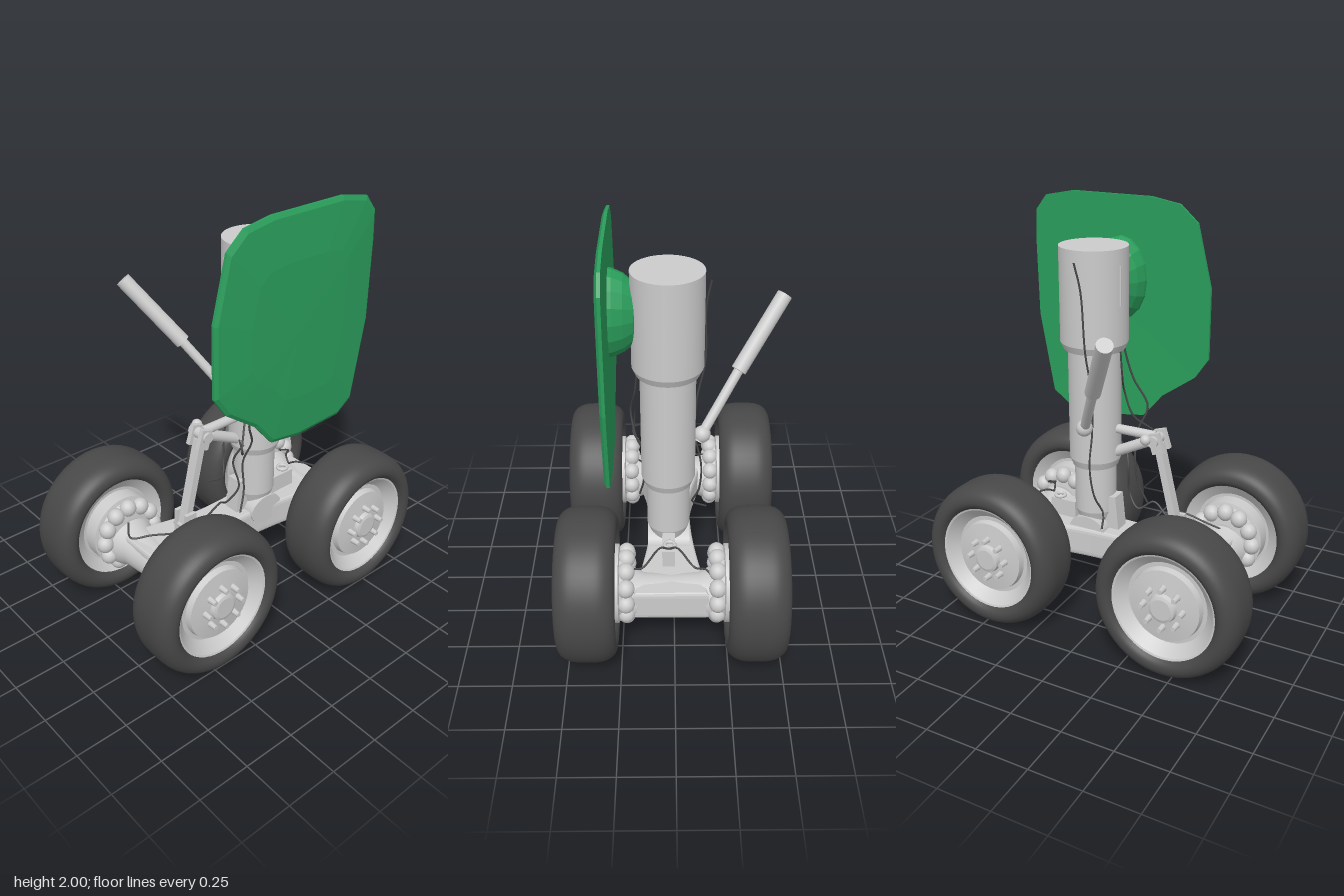
import * as THREE from 'three';

const V = (x, y, z) => new THREE.Vector3(x, y, z);
const grey = new THREE.MeshStandardMaterial({ color: 0xcccccc });
const rubber = new THREE.MeshStandardMaterial({ color: 0x484848 });
const green = new THREE.MeshStandardMaterial({ color: 0x2a9d5b, flatShading: true, side: THREE.DoubleSide });
const CX = 0.027, CZ = -0.155; // strut axis

function add(parent, name, geometry, material = grey, x = 0, y = 0, z = 0) {
  const mesh = new THREE.Mesh(geometry, material);
  mesh.name = name;
  mesh.position.set(x, y, z);
  parent.add(mesh);
  return mesh;
}

// Round bar from a to b
function bar(parent, name, a, b, r0, r1 = r0, sides = 20) {
  const d = b.clone().sub(a);
  const mesh = add(parent, name, new THREE.CylinderGeometry(r1, r0, d.length(), sides));
  mesh.position.copy(a).addScaledVector(d, 0.5);
  mesh.quaternion.setFromUnitVectors(V(0, 1, 0), d.normalize());
  return mesh;
}

// Flat link in the yz plane, from a to b
function link(parent, name, a, b, width, depth) {
  const d = b.clone().sub(a);
  const mesh = add(parent, name, new THREE.BoxGeometry(width, d.length(), depth));
  mesh.position.copy(a).addScaledVector(d, 0.5);
  mesh.rotation.x = Math.atan2(d.z, d.y);
  return mesh;
}

function hose(parent, points, r = 0.005) {
  const curve = new THREE.CatmullRomCurve3(points.map(p => V(...p)));
  add(parent, 'hose', new THREE.TubeGeometry(curve, 40, r, 6), rubber);
}

// Lathe about the x axis
function latheX(points, sides = 48) {
  return new THREE.LatheGeometry(points.map(p => new THREE.Vector2(...p)), sides).rotateZ(-Math.PI / 2);
}

// Lathe with crisp corners: one band per segment
function bands(parent, name, points, material = grey) {
  for (let i = 0; i < points.length - 1; i++) add(parent, name, latheX([points[i], points[i + 1]]), material);
}

// Wheel with its outer face towards local +x
function wheel(side, z) {
  const g = new THREE.Group();
  g.name = 'wheel';
  const half = [[0.25, 0.1], [0.268, 0.124], [0.29, 0.136], [0.318, 0.132], [0.343, 0.112], [0.36, 0.078], [0.366, 0.035]];
  const profile = [...half.map(([r, h]) => [r, -h]), ...half.slice().reverse()];
  const smooth = new THREE.SplineCurve(profile.map(p => new THREE.Vector2(...p))).getPoints(36);
  add(g, 'tyre', latheX(smooth.map(p => [p.x, p.y]), 56), rubber);
  bands(g, 'rim', [[0.001, -0.07], [0.2, -0.07], [0.25, -0.105], [0.264, -0.115], [0.264, 0.115], [0.25, 0.11],
    [0.2, 0.06], [0.18, 0.06], [0.174, 0.09], [0.07, 0.103], [0.064, 0.122], [0.05, 0.127], [0.0, 0.127]]);
  for (let i = 0; i < 8; i++) {
    const a = i / 8 * Math.PI * 2;
    const bolt = add(g, 'wheelBolt', new THREE.CylinderGeometry(0.012, 0.016, 0.045, 10), grey,
      0.118, Math.cos(a) * 0.097, Math.sin(a) * 0.097);
    bolt.rotation.z = -Math.PI / 2;
  }
  // Brake pack on the inner face with a ring of rounded pistons
  bands(g, 'brakeDrum', [[0.001, -0.2], [0.09, -0.2], [0.15, -0.19], [0.165, -0.15], [0.185, -0.145], [0.185, -0.06]]);
  for (let i = 0; i < 12; i++) {
    const a = i / 12 * Math.PI * 2;
    const piston = add(g, 'brakePiston', new THREE.SphereGeometry(0.043, 14, 10), grey,
      -0.18, Math.cos(a) * 0.148, Math.sin(a) * 0.148);
    piston.scale.x = 0.95;
  }
  g.position.set(0.013 + side * 0.389, 0.367, z);
  g.rotation.y = side > 0 ? 0 : Math.PI;
  g.scale.z = 0.962;
  return g;
}

// Domed door: rings of the outline stepping from the flat inside to the crowned outside
function doorGeometry() {
  const outline = [[0.156, 1.975], [0.008, 2], [-0.41, 2], [-0.56, 1.97], [-0.618, 1.895], [-0.623, 1.76], [-0.613, 1.37],
    [-0.538, 0.97], [-0.4535, 0.91], [-0.188, 0.896], [-0.02, 0.92], [0.082, 1.04], [0.252, 1.16], [0.32, 1.26], [0.32, 1.6], [0.247, 1.895]];
  const rings = [[0, 0.279], [1, 0.277], [1, 0.291], [0.965, 0.302], [0.6, 0.317], [0, 0.321]];
  const n = outline.length, pos = [], index = [];
  for (const [s, x] of rings)
    for (const [z, y] of outline) pos.push(x, 1.45 + (y - 1.45) * s, -0.15 + (z + 0.15) * s);
  for (let r = 0; r < rings.length - 1; r++)
    for (let i = 0; i < n; i++) {
      const a = r * n + i, aj = r * n + (i + 1) % n;
      index.push(aj, a, a + n, aj, a + n, aj + n);
    }
  const geo = new THREE.BufferGeometry();
  geo.setAttribute('position', new THREE.Float32BufferAttribute(pos, 3));
  geo.setIndex(index);
  geo.computeVertexNormals();
  return geo;
}

export function createModel() {
  const model = new THREE.Group();
  model.name = 'landingGear';

  // Wheels and axles
  for (const z of [0.461, -0.462]) {
    for (const side of [1, -1]) model.add(wheel(side, z));
    const axle = [[0.13, -0.24], [0.125, -0.19], [0.098, -0.13], [0.09, 0], [0.098, 0.13], [0.125, 0.19], [0.13, 0.24]];
    add(model, 'axle', latheX(axle, 32), grey, 0.015, 0.325, z * 1.02 - 0.01);
  }

  // Bogie beam, waisted in plan
  const plan = new THREE.Shape();
  plan.moveTo(-0.16, -0.52);
  plan.lineTo(0.16, -0.52);
  plan.bezierCurveTo(0.14, -0.3, 0.085, -0.25, 0.085, -0.05);
  plan.bezierCurveTo(0.085, 0.2, 0.12, 0.35, 0.16, 0.58);
  plan.lineTo(-0.16, 0.58);
  plan.bezierCurveTo(-0.12, 0.35, -0.085, 0.2, -0.085, -0.05);
  plan.bezierCurveTo(-0.085, -0.25, -0.14, -0.3, -0.16, -0.52);
  const beam = new THREE.ExtrudeGeometry(plan, { depth: 0.1, bevelThickness: 0.025, bevelSize: 0.012, bevelSegments: 3, curveSegments: 16 });
  add(model, 'bogieBeam', beam.rotateX(-Math.PI / 2), grey, 0.017, 0.287, 0);
  bar(model, 'brakeRod', V(0.03, 0.245, -0.5), V(0.03, 0.245, 0.48), 0.02);

  // Main strut
  bar(model, 'upperCylinder', V(CX, 1.36, CZ), V(CX, 1.808, CZ), 0.161, 0.161, 40);
  bar(model, 'upperCylinderCollar', V(CX, 1.325, CZ), V(CX, 1.36, CZ), 0.145, 0.161, 40);
  bar(model, 'middleCylinder', V(CX, 0.775, CZ), V(CX, 1.33, CZ), 0.126, 0.126, 40);
  bar(model, 'middleCylinderCollar', V(CX, 0.738, CZ), V(CX, 0.775, CZ), 0.112, 0.126, 40);
  bar(model, 'piston', V(CX, 0.5, CZ), V(CX, 0.75, CZ), 0.102, 0.102, 32);
  bar(model, 'pistonFoot', V(CX, 0.38, CZ), V(CX, 0.5, CZ), 0.06, 0.102, 32);
  const pivot = bar(model, 'beamPivot', V(CX - 0.1, 0.4, CZ), V(CX + 0.1, 0.4, CZ), 0.075);
  pivot.scale.z = 1.3;
  link(model, 'frontFootWeb', V(CX, 0.38, -0.05), V(CX, 0.58, -0.07), 0.08, 0.09);
  add(model, 'rearLug', new THREE.BoxGeometry(0.06, 0.1, 0.14), grey, CX, 0.45, -0.33);
  const eye = add(model, 'rearLugEye', new THREE.TorusGeometry(0.024, 0.009, 8, 18), grey, CX - 0.005, 0.51, -0.36);
  eye.rotation.x = Math.PI / 2;
  bar(model, 'indicatorRod', V(-0.01, 1.55, 0.003), V(-0.01, 1.73, 0.003), 0.006, 0.006, 8);

  // Torque links between strut and beam
  const knee = V(0.027, 0.925, 0.18), toe = V(0.03, 0.44, 0.3);
  bar(model, 'upperTorqueLink', V(0.027, 0.935, -0.06), V(0.027, 0.935, 0.17), 0.023);
  bar(model, 'upperLinkBrace', V(0.027, 0.81, -0.05), V(0.027, 0.9, 0.13), 0.026);
  link(model, 'lowerTorqueLink', toe, V(0.027, 0.9, 0.19), 0.052, 0.035);
  for (const s of [-1, 1]) {
    link(model, 'kneeClevis', V(0.027 + s * 0.034, 0.865, 0.205), V(0.027 + s * 0.034, 0.96, 0.175), 0.024, 0.06);
    link(model, 'toeClevis', V(0.03 + s * 0.036, 0.4, 0.29), V(0.03 + s * 0.036, 0.54, 0.285), 0.02, 0.06);
  }
  bar(model, 'kneePin', V(-0.035, knee.y, knee.z), V(0.085, knee.y, knee.z), 0.027);
  bar(model, 'toePin', V(-0.025, toe.y + 0.02, toe.z), V(0.085, toe.y + 0.02, toe.z), 0.018);
  add(model, 'kneeDamper', new THREE.SphereGeometry(0.026, 16, 12), grey, -0.04, 0.935, 0.15);

  // Side brace
  const top = V(-0.515, 1.53, 0.2), mid = V(-0.3, 1.23, 0.02), end = V(-0.11, 0.945, -0.14);
  bar(model, 'braceCylinder', mid, top, 0.037);
  bar(model, 'braceRod', end, mid, 0.023);
  add(model, 'braceJoint', new THREE.SphereGeometry(0.04, 18, 12), grey, -0.13, 0.975, -0.125);

  // Door and its mount
  add(model, 'door', doorGeometry(), green);
  const mount = add(model, 'doorMount', latheX([[0, 0.145], [0.09, 0.15], [0.14, 0.172], [0.178, 0.215], [0.2, 0.262], [0.203, 0.28]].map(([r, h]) => [r, -h]), 16), green, 0, 1.607, -0.145);
  mount.rotation.y = Math.PI;
  mount.scale.z = 0.68;

  // Hydraulic hoses
  hose(model, [[-0.16, 1.76, -0.15], [-0.14, 1.63, -0.13], [-0.14, 1.35, -0.11], [-0.105, 1.15, -0.1], [-0.1, 0.95, -0.1],
    [-0.13, 0.78, -0.1], [-0.12, 0.62, -0.08], [-0.09, 0.53, -0.05], [-0.16, 0.48, -0.02]]);
  hose(model, [[0.03, 1.35, -0.02], [0.05, 1.2, -0.02], [0.11, 1.1, -0.04], [0.13, 0.97, 0.0], [0.2, 0.87, 0.08], [0.14, 0.81, 0.02], [0.07, 0.83, -0.02]]);
  hose(model, [[0.18, 1.6, -0.1], [0.165, 1.35, -0.08], [0.18, 1.15, -0.03], [0.205, 1.0, 0.04], [0.18, 0.88, 0.0],
    [0.13, 0.75, 0.01], [0.15, 0.6, 0.02], [0.17, 0.5, 0.06]]);
  hose(model, [[0.1, 0.82, -0.02], [0.06, 0.72, 0.01], [0.09, 0.58, 0.0], [0.07, 0.51, 0.06], [0.1, 0.55, 0.13], [0.09, 0.5, 0.2]]);
  hose(model, [[0.09, 0.5, 0.2], [0.06, 0.46, 0.34], [-0.04, 0.43, 0.44], [-0.1, 0.42, 0.52], [-0.17, 0.45, 0.48]]);
  hose(model, [[0.09, 0.5, 0.2], [0.13, 0.51, 0.26], [0.17, 0.46, 0.4], [0.22, 0.4, 0.53]]);
  for (const s of [-1, 1])
    hose(model, [[CX, 0.52, -0.4], [CX + s * 0.04, 0.54, -0.42], [CX + s * 0.12, 0.5, -0.51], [CX + s * 0.17, 0.48, -0.5], [CX + s * 0.2, 0.46, -0.53]]);
  return model;
}
